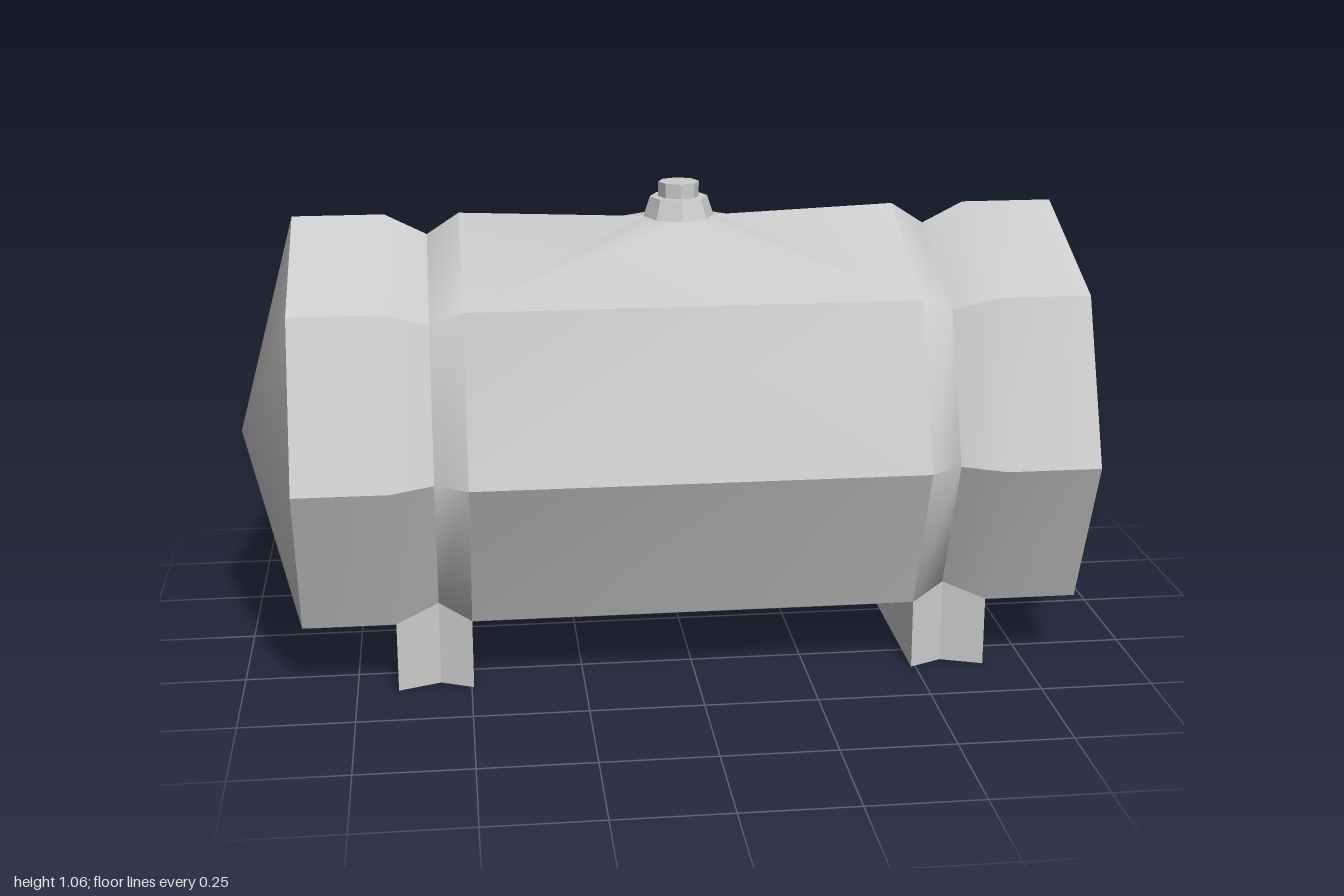
import * as THREE from 'three';
import { toCreasedNormals } from 'three/addons/utils/BufferGeometryUtils.js';

const material = new THREE.MeshStandardMaterial({ color: 0xcccccc });
const CY = 0.505, R = 0.492, GROOVE = 0.445, SIDES = 8;
const S = Math.SQRT1_2;

// Tank stations along x: [x, radius]
const stations = [
  [-0.863, R], [-0.66, R], [-0.567, GROOVE], [-0.495, R],
  [0.49, R], [0.563, GROOVE], [0.655, R], [0.86, R],
];
const FILLER_R = 0.08, FILLER_Y = 0.98;

function addMesh(group, name, geometry, x = 0, y = 0, z = 0) {
  const mesh = new THREE.Mesh(toCreasedNormals(geometry, 0.68), material);
  mesh.name = name;
  mesh.position.set(x, y, z);
  group.add(mesh);
  return mesh;
}

// Octagonal shell with pointed ends; its middle top panels run into the filler base
function tankGeometry() {
  const positions = [];
  const tri = (a, b, c) => positions.push(...a, ...b, ...c);
  const rings = stations.map(([x, r]) => Array.from({ length: SIDES }, (_, k) => {
    const a = (k / SIDES) * Math.PI * 2;
    return [x, CY + r * Math.cos(a), r * Math.sin(a)];
  }));
  rings[7][4][1] = 0.09; // bottom edge rises toward the drain

  for (let i = 0; i < rings.length - 1; i++) {
    for (let k = 0; k < SIDES; k++) {
      if (i === 3 && (k === 0 || k === 7)) continue;
      const n = (k + 1) % SIDES;
      const a = rings[i][k], b = rings[i][n], c = rings[i + 1][n], d = rings[i + 1][k];
      if (k < 4) { tri(a, b, d); tri(b, c, d); }
      else { tri(a, b, c); tri(a, c, d); }
    }
  }

  // Shallow pointed ends
  for (let k = 0; k < SIDES; k++) {
    const n = (k + 1) % SIDES;
    tri([-1, CY, 0], rings[0][n], rings[0][k]);
    tri([1, CY, 0], rings[7][k], rings[7][n]);
  }

  // Top panels, fanned from the corners to the filler base
  for (const side of [1, -1]) {
    const k = side > 0 ? 1 : 7;
    const A = rings[3][k], B = rings[4][k];
    const f = [0, 1, 2, 3, 4].map((j) => {
      const a = Math.PI - (j * Math.PI) / 4;
      return [FILLER_R * Math.cos(a), FILLER_Y, side * FILLER_R * Math.sin(a)];
    });
    const panels = [
      [rings[3][0], A, f[0]], [f[0], A, f[1]], [f[1], A, f[2]], [f[2], A, B],
      [f[2], B, f[3]], [f[3], B, f[4]], [f[4], B, rings[4][0]],
    ];
    for (const [p, q, r] of panels) side > 0 ? tri(p, q, r) : tri(p, r, q);
  }

  const g = new THREE.BufferGeometry();
  g.setAttribute('position', new THREE.Float32BufferAttribute(positions, 3));
  return g;
}

// Foot under a groove: notched plan, pulled up to meet the groove corner
function footGeometry(x0, xm, x1) {
  const zOut = R * S, zIn = GROOVE * S;
  const plan = [[x0, -zOut], [xm, -zIn], [x1, -zOut], [x1, zOut], [xm, zIn], [x0, zOut]];
  const shape = new THREE.Shape(plan.map(([x, z]) => new THREE.Vector2(x, z)));
  const g = new THREE.ExtrudeGeometry(shape, { depth: CY - zOut, bevelEnabled: false });
  g.rotateX(-Math.PI / 2);
  const p = g.attributes.position;
  for (let i = 0; i < p.count; i++) {
    if (Math.abs(p.getX(i) - xm) < 0.001 && p.getY(i) > 0.1) p.setY(i, CY - zIn);
  }
  return g;
}

export function createModel() {
  const group = new THREE.Group();
  group.name = 'storageTank';

  addMesh(group, 'tankBody', tankGeometry());
  addMesh(group, 'rightFoot', footGeometry(-0.66, -0.567, -0.495));
  addMesh(group, 'leftFoot', footGeometry(0.49, 0.563, 0.655));

  // Filler neck and cap
  addMesh(group, 'fillerNeck', new THREE.CylinderGeometry(0.065, FILLER_R, 0.045, 8), 0, 1.0025, 0);
  addMesh(group, 'fillerCap', new THREE.CylinderGeometry(0.046, 0.046, 0.034, 8), 0, 1.041, 0);

  // Drain block with plug at the left end
  const drain = new THREE.Group();
  drain.name = 'drain';
  addMesh(drain, 'drainBlock', new THREE.BoxGeometry(0.125, 0.133, 0.136), 0.8425, 0.1235, 0);
  const plug = new THREE.CylinderGeometry(0.037, 0.037, 0.015, 8).rotateZ(-Math.PI / 2);
  addMesh(drain, 'drainPlug', plug, 0.9125, 0.12, 0);
  const pin = new THREE.CylinderGeometry(0.011, 0.011, 0.014, 8).rotateZ(-Math.PI / 2);
  addMesh(drain, 'drainPin', pin, 0.926, 0.12, 0);
  group.add(drain);

  return group;
}
